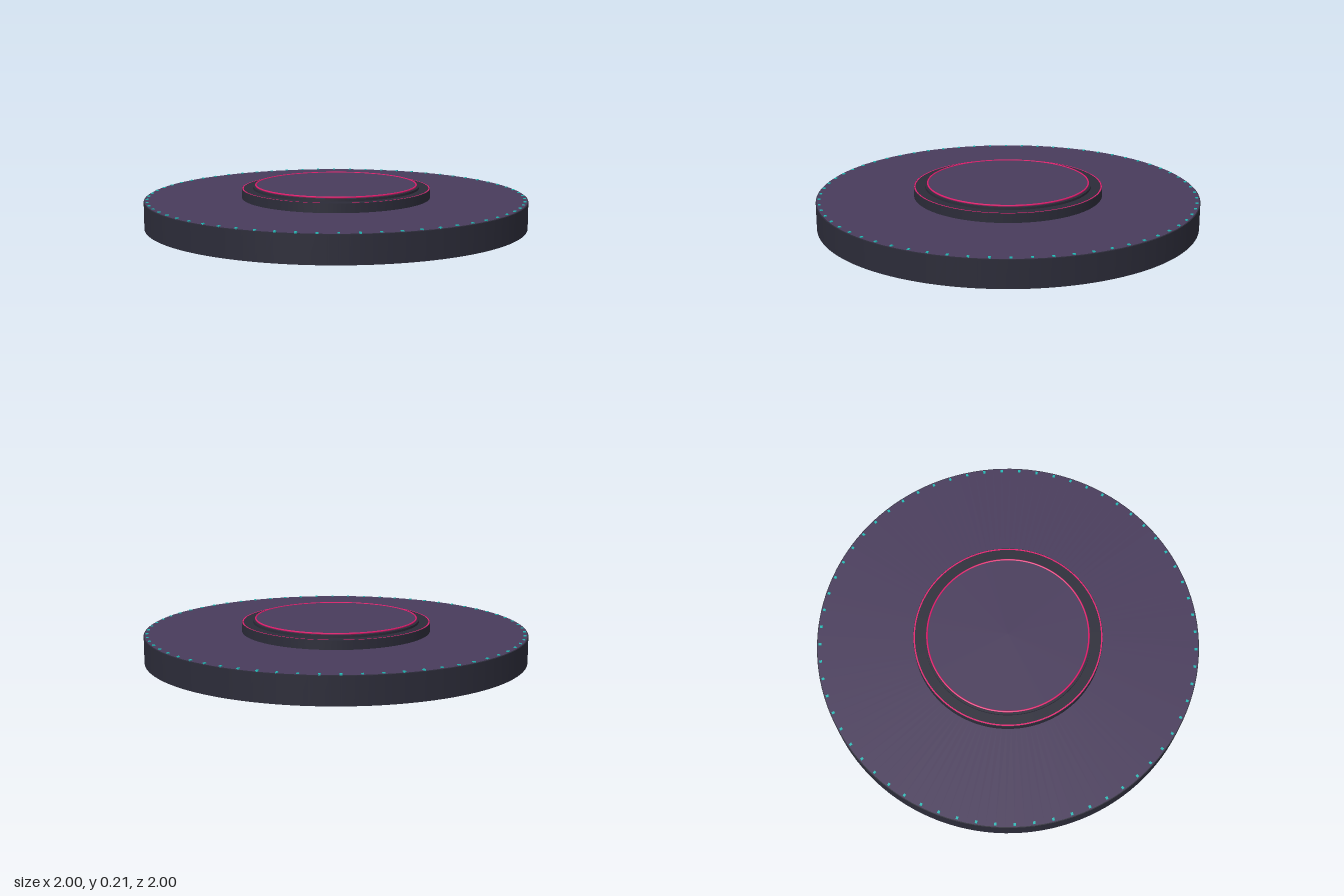
import * as THREE from 'three';

const SEGMENTS = 128;

function material(name, color) {
  const m = new THREE.MeshStandardMaterial({ color });
  m.name = name;
  return m;
}

export function createModel() {
  const group = new THREE.Group();
  const dark = material('charcoal', 0x2b2b38);
  const purple = material('dusky purple', 0x483b5b);
  const pink = material('neon pink', 0xe01e6e);
  const teal = material('teal light', 0x22b8b4);

  const add = (name, geometry, mat, y) => {
    const mesh = new THREE.Mesh(geometry, mat);
    mesh.name = name;
    mesh.position.y = y;
    group.add(mesh);
    return mesh;
  };

  // Solid round tier between two heights
  const tier = (name, radius, bottom, top, mat) =>
    add(name, new THREE.CylinderGeometry(radius, radius, top - bottom, SEGMENTS), mat, (bottom + top) / 2);

  // Flat ring facing up
  const flatRing = (name, inner, outer, mat, y) =>
    add(name, new THREE.RingGeometry(inner, outer, SEGMENTS).rotateX(-Math.PI / 2), mat, y);

  // Wide base and its floor
  tier('base', 1, 0, 0.14, dark);
  flatRing('floor', 0.48, 0.996, purple, 0.1425);

  // Raised stage in stepped tiers
  tier('stageStep', 0.493, 0.14, 0.19, dark);
  tier('stageCollar', 0.435, 0.19, 0.202, dark);
  tier('stageTop', 0.422, 0.202, 0.208, purple);

  // Glowing trim around the stage
  flatRing('stepTrim', 0.484, 0.491, pink, 0.1915);
  const trim = new THREE.TorusGeometry(0.42, 0.0045, 6, SEGMENTS).rotateX(Math.PI / 2);
  add('topTrim', trim, pink, 0.2075);

  // Small lights around the rim
  const lights = new THREE.Group();
  lights.name = 'rimLights';
  const lightGeometry = new THREE.BoxGeometry(0.014, 0.007, 0.012);
  const count = 64;
  for (let i = 0; i < count; i++) {
    const angle = (i / count) * Math.PI * 2;
    const light = new THREE.Mesh(lightGeometry, teal);
    light.name = 'rimLight';
    light.position.set(Math.cos(angle) * 0.983, 0.1435, Math.sin(angle) * 0.983);
    light.rotation.y = -angle;
    lights.add(light);
  }
  group.add(lights);

  return group;
}
